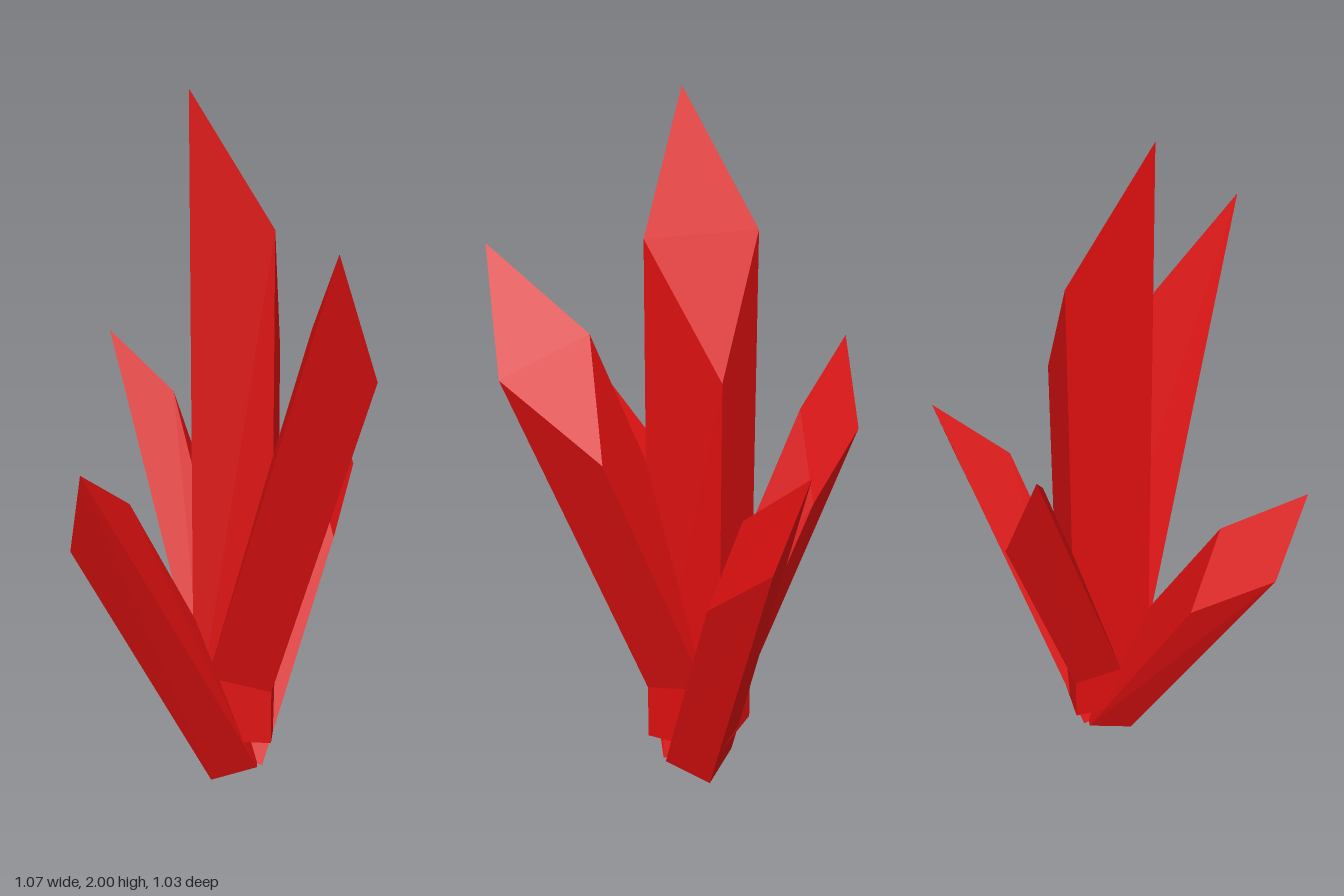
import * as THREE from 'three';

const red = new THREE.MeshStandardMaterial({ color: 0xdd1010 });
red.name = 'crystalRed';

// Four-sided shard between two rings of corners, each ordered +z, +x, -z, -x
function shard(name, base, tip) {
  const pos = [];
  const quad = (a, b, c, d) => [a, b, c, a, c, d].forEach((p) => pos.push(...p));
  for (let i = 0; i < 4; i++) {
    const j = (i + 1) % 4;
    quad(base[i], base[j], tip[j], tip[i]);
  }
  quad(...tip);
  quad(...[...base].reverse());
  const geometry = new THREE.BufferGeometry();
  geometry.setAttribute('position', new THREE.Float32BufferAttribute(pos, 3));
  geometry.computeVertexNormals(); // unshared corners keep the facets flat
  const mesh = new THREE.Mesh(geometry, red);
  mesh.name = name;
  return mesh;
}

export function createModel() {
  const group = new THREE.Group();
  group.name = 'crystalCluster';
  group.add(
    // Tall upright shard, cut by one slope falling to +x
    shard('centralCrystal',
      [[0.05, 0.15, 0.12], [0.21, 0.15, -0.04], [0.05, 0.15, -0.2], [-0.11, 0.15, -0.04]],
      [[0.05, 1.64, 0.12], [0.21, 1.28, -0.04], [0.05, 1.64, -0.2], [-0.11, 2, -0.04]]),
    // Leaning shards around it
    shard('frontCrystal',
      [[0.05, 0.2, 0.075], [0.18, 0.25, -0.05], [0.05, 0.3, -0.17], [-0.08, 0.25, -0.05]],
      [[0.05, 1.3, 0.515], [0.18, 1.08, 0.28], [0.05, 1.4, 0.27], [-0.08, 1.63, 0.505]]),
    shard('backCrystal',
      [[0.05, 0.28, 0.02], [0.15, 0.24, -0.07], [0.05, 0.2, -0.163], [-0.05, 0.24, -0.07]],
      [[0.05, 1.12, -0.335], [0.15, 0.87, -0.34], [0.05, 1.04, -0.52], [-0.05, 1.29, -0.515]]),
    shard('rightCrystal',
      [[0.04, 0.055, 0.07], [0.13, 0.11, -0.035], [0.04, 0.055, -0.14], [-0.05, 0, -0.035]],
      [[-0.535, 1.06, 0.05], [-0.325, 0.92, -0.035], [-0.295, 0.68, -0.14], [-0.505, 0.82, -0.055]]),
    shard('leftCrystal',
      [[0.06, 0.055, 0.07], [0.155, 0.015, -0.035], [0.06, 0.055, -0.14], [-0.035, 0.095, -0.035]],
      [[0.35, 0.7, 0.05], [0.53, 0.87, -0.06], [0.525, 1.12, -0.16], [0.345, 0.945, -0.05]]),
  );
  return group;
}
